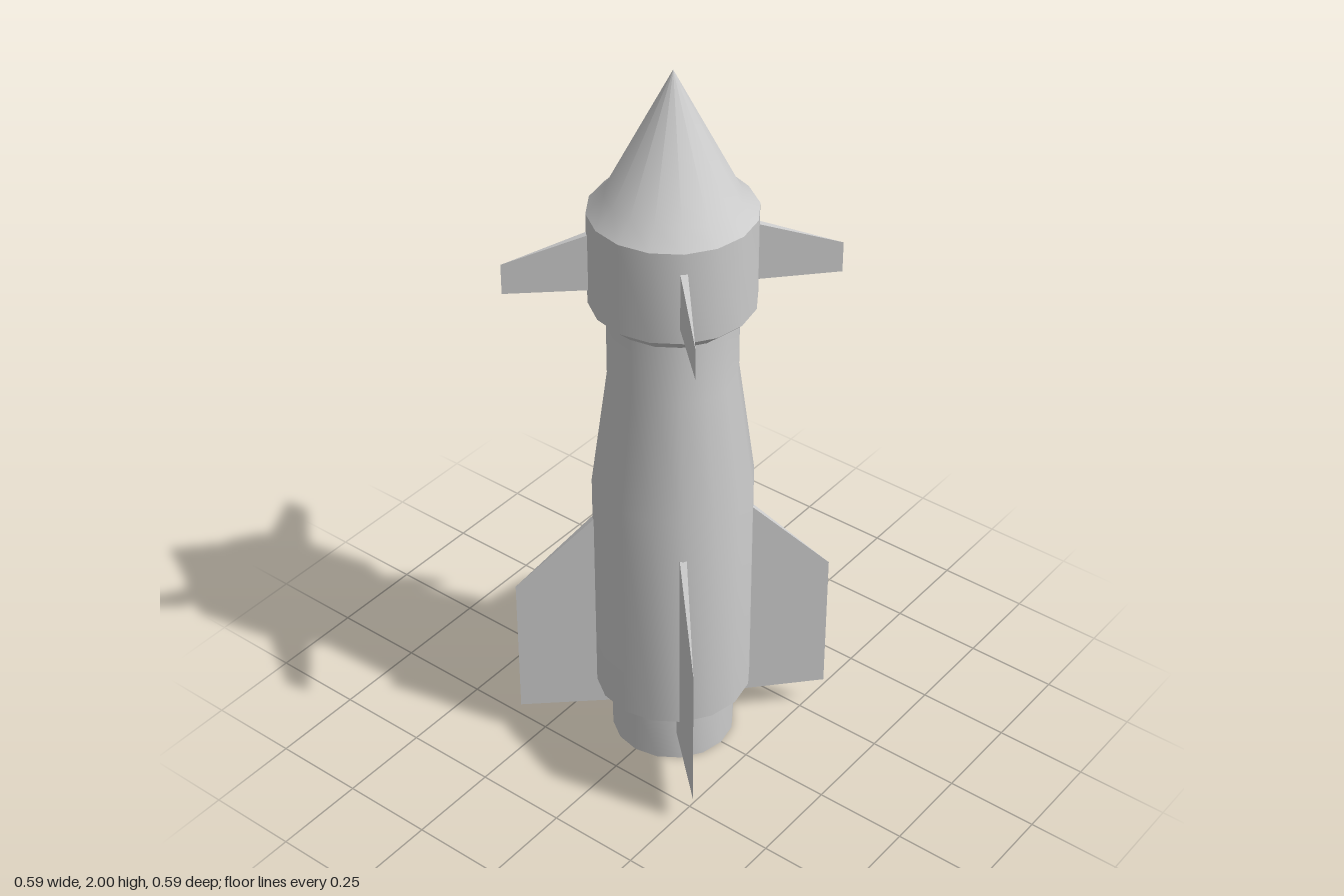
import * as THREE from 'three';
import { toCreasedNormals } from 'three/addons/utils/BufferGeometryUtils.js';

const material = new THREE.MeshStandardMaterial({ color: 0xcccccc });
const SIDES = 16;
const WIDE = 0.21;     // full hull radius
const NARROW = 0.166;  // neck and engine radius
const FIN_TIP = 0.417; // radius of the fins' outer edge

// Turned part from [radius, height] pairs, bottom to top
function turned(name, profile) {
  const points = profile.map(([r, y]) => new THREE.Vector2(r, y));
  const geometry = toCreasedNormals(new THREE.LatheGeometry(points, SIDES), 0.5);
  const mesh = new THREE.Mesh(geometry, material);
  mesh.name = name;
  return mesh;
}

// Wedge fin: thick at the hidden root, knife edge at the tip
function finGeometry(bottom, rootTop, tipTop) {
  const r = 0.15, t = 0.0115;
  const a = [r, bottom, t], b = [r, bottom, -t];
  const c = [r, rootTop, t], d = [r, rootTop, -t];
  const e = [FIN_TIP, bottom, 0], f = [FIN_TIP, tipTop, 0];
  const triangles = [
    a, e, f, a, f, c, // one side
    b, d, f, b, f, e, // other side
    c, f, d, a, b, e, // top and bottom
    a, c, d, a, d, b, // root
  ];
  const geometry = new THREE.BufferGeometry();
  geometry.setAttribute('position', new THREE.Float32BufferAttribute(triangles.flat(), 3));
  geometry.computeVertexNormals();
  return geometry;
}

// Four fins on the diagonals
function finSet(name, geometry) {
  const set = new THREE.Group();
  set.name = name + 's';
  for (let i = 0; i < 4; i++) {
    const fin = new THREE.Mesh(geometry, material);
    fin.name = name;
    fin.rotation.y = Math.PI / 4 + i * Math.PI / 2;
    set.add(fin);
  }
  return set;
}

export function createModel() {
  const model = new THREE.Group();
  model.name = 'rocket';

  model.add(turned('engine', [[0, 0], [NARROW, 0], [NARROW, 0.17]]));
  model.add(turned('hull', [
    [NARROW, 0.17], [WIDE, 0.17], [WIDE, 0.84], [NARROW, 1.17], [NARROW, 1.34],
  ]));
  model.add(turned('noseCone', [
    [NARROW, 1.34], [WIDE, 1.38], [WIDE, 1.63], [NARROW, 1.674], [0, 2],
  ]));

  model.add(finSet('tailFin', finGeometry(0.09, 0.775, 0.505)));
  model.add(finSet('noseFin', finGeometry(1.42, 1.595, 1.503)));
  return model;
}
